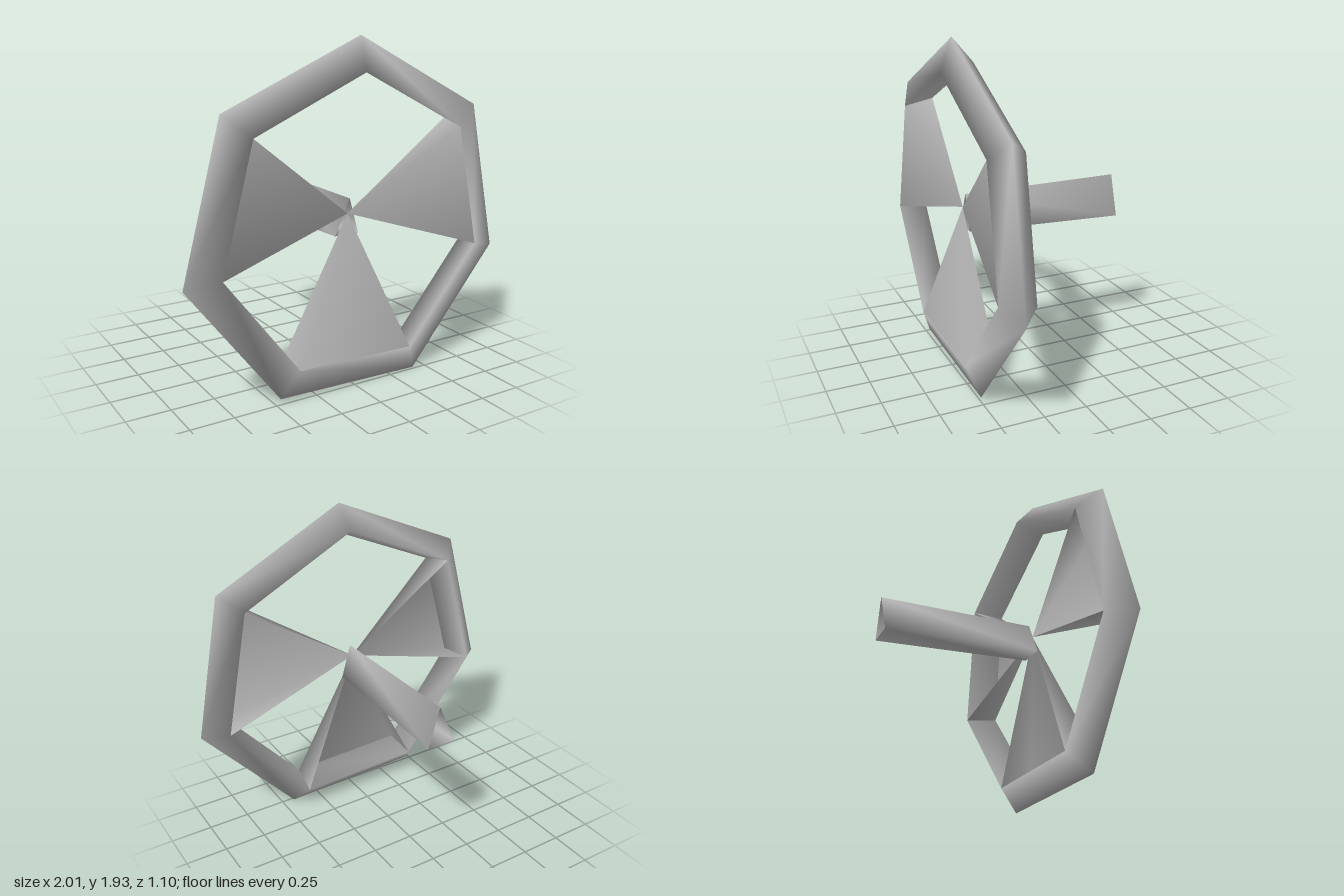
import * as THREE from 'three';

const SIDES = 7;
const CENTRE_Y = 0.918;

// Smooth mesh from shared points and triangle indices
function buildMesh(name, points, index, material) {
  const geometry = new THREE.BufferGeometry();
  geometry.setAttribute('position', new THREE.Float32BufferAttribute(points.flat(), 3));
  geometry.setIndex(index);
  geometry.computeVertexNormals();
  const mesh = new THREE.Mesh(geometry, material);
  mesh.name = name;
  return mesh;
}

// Skin a list of equal cross-sections, optionally joining last to first
function loft(name, sections, closed, material) {
  const n = sections[0].length;
  const count = sections.length;
  const index = [];
  for (let i = 0; i < (closed ? count : count - 1); i++) {
    const j = (i + 1) % count;
    for (let k = 0; k < n; k++) {
      const m = (k + 1) % n;
      const a = i * n + k, b = i * n + m, c = j * n + m, d = j * n + k;
      index.push(a, b, c, a, c, d);
    }
  }
  return buildMesh(name, sections.flat(), index, material);
}

// Point on the slightly tilted wheel: corner number, radius, depth offset
function wheelPoint(corner, radius, depth) {
  const angle = THREE.MathUtils.degToRad(88.3 - corner * 360 / SIDES);
  const x = 1.02 * radius * Math.cos(angle) + 0.005;
  const y = radius * Math.sin(angle);
  return [x, CENTRE_Y + y, 0.455 + depth - 0.0115 * y - 0.005 * x];
}

export function createModel() {
  const group = new THREE.Group();
  group.name = 'steeringWheel';
  const grey = new THREE.MeshStandardMaterial({ color: 0xb4b4b4, side: THREE.DoubleSide });
  grey.name = 'grey';

  // Rim: triangular section swept round a heptagon
  const outer = (i) => wheelPoint(i, 1.01, 0.02);
  const front = (i) => wheelPoint(i, 0.823, 0.085);
  const back = (i) => wheelPoint(i, 0.87, -0.103);
  const rimSections = [];
  for (let i = 0; i < SIDES; i++) rimSections.push([outer(i), front(i), back(i)]);
  group.add(loft('rim', rimSections, true, grey));

  // Spokes: hollow wedges, open at the back, meeting at the hub
  const hub = [0, 0.97, 0.41];
  [['rightSpoke', 1], ['bottomSpoke', 3], ['leftSpoke', 5]].forEach(([name, i]) => {
    const points = [hub, front(i), back(i), front(i + 1), back(i + 1)];
    group.add(buildMesh(name, points, [0, 3, 1, 0, 1, 2, 0, 4, 3], grey));
  });

  // Column: open three-sided tube, a little wider at the far end
  group.add(loft('column', [
    [[0.02, 1.05, 0.4], [0.08, 0.845, 0.4], [-0.073, 0.848, 0.4]],
    [[0.02, 1.057, -0.545], [0.09, 0.815, -0.545], [-0.085, 0.82, -0.545]],
  ], false, grey));

  return group;
}
